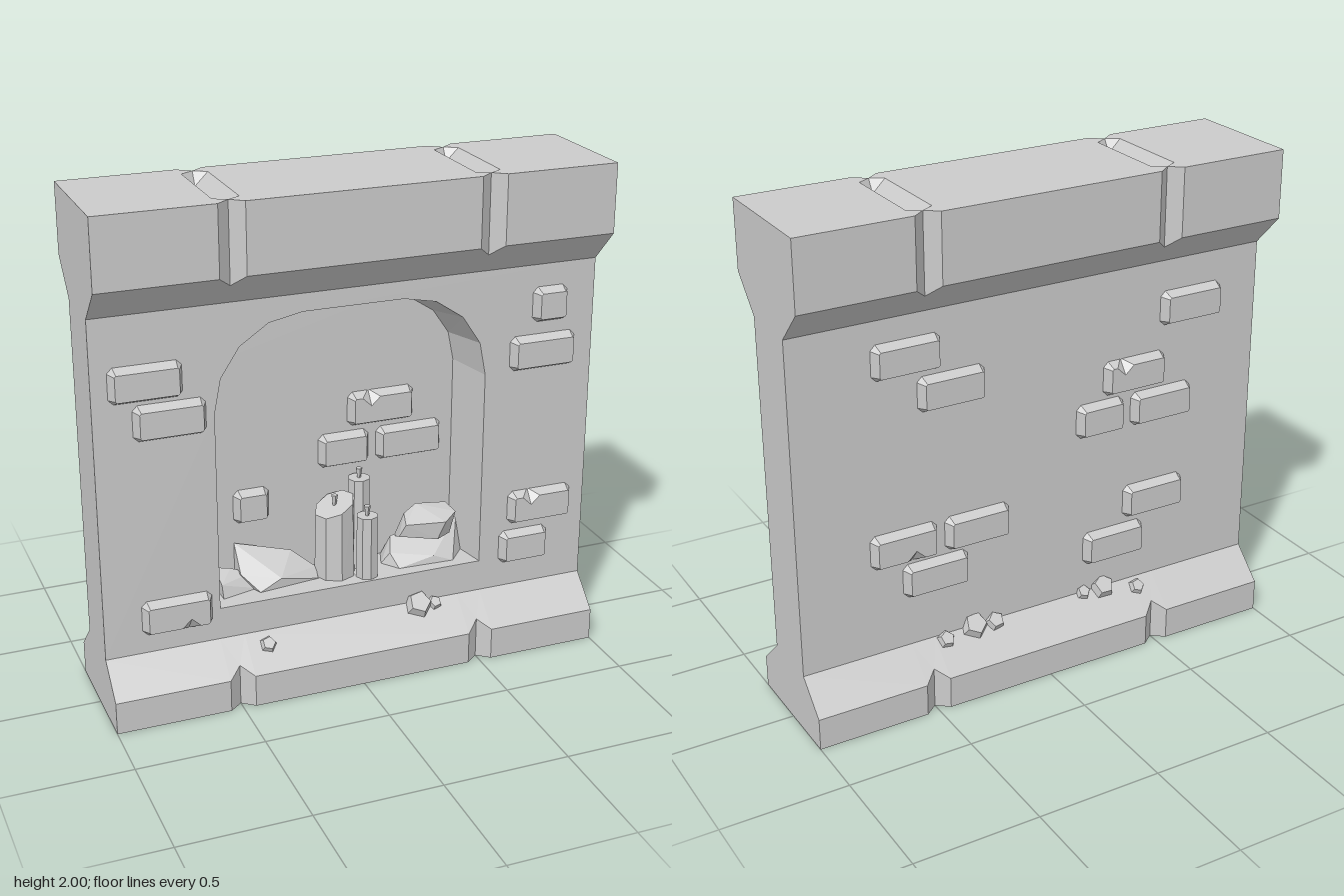
import * as THREE from 'three';
import { mergeGeometries } from 'three/addons/utils/BufferGeometryUtils.js';
import { ConvexGeometry } from 'three/addons/geometries/ConvexGeometry.js';

const stone = new THREE.MeshStandardMaterial({ color: 0xcccccc, flatShading: true });
const shell = new THREE.MeshStandardMaterial({ color: 0xcccccc, flatShading: true, side: THREE.DoubleSide });

const FACE = 0.125, NICHE_BACK = -0.085, FLOOR = 0.38;

function add(parent, name, geometry, material = stone) {
  const mesh = new THREE.Mesh(geometry, material);
  mesh.name = name;
  parent.add(mesh);
  return mesh;
}

// Skin a row of cross-sections; each quad is split along its higher diagonal
function loft(rings, closed = false, skip = -1) {
  const pos = [];
  const n = rings[0].length;
  for (let k = 0; k < rings.length - 1; k++) {
    for (let j = 0; j < (closed ? n : n - 1); j++) {
      if (j === skip) continue;
      const m = (j + 1) % n;
      const a = rings[k][j], b = rings[k + 1][j], c = rings[k + 1][m], d = rings[k][m];
      const tris = a[1] + c[1] > b[1] + d[1] ? [a, b, c, a, c, d] : [a, b, d, b, c, d];
      tris.forEach(p => pos.push(...p));
    }
  }
  const g = new THREE.BufferGeometry();
  g.setAttribute('position', new THREE.Float32BufferAttribute(pos, 3));
  g.computeVertexNormals();
  return g;
}

const toShape = pts => new THREE.Shape(pts.map(p => new THREE.Vector2(p[0], p[1])));

function flat(shape, z) {
  const g = new THREE.ShapeGeometry(shape).toNonIndexed();
  g.deleteAttribute('uv');
  return g.translate(0, 0, z);
}

// Wall cross-section at x; grooved stations are pinched in
function section(x, grooved) {
  const Z = grooved ? 0.21 : 0.25;
  const half = [
    [Z, 0], [Z, grooved ? 0.167 : 0.13], [FACE, 0.25], [FACE, 1.6],
    [Z, grooved ? 1.69 : 1.73], [Z, 2], [0.18, grooved ? 1.95 : 2],
  ];
  const back = half.map(([z, y]) => [-z, y]).reverse();
  return [...half, ...back].map(([z, y]) => [x, y, z]);
}

// Arch outline, counter-clockwise
function arch(halfWidth, top, z) {
  const pts = [[-halfWidth, FLOOR, z], [halfWidth, FLOOR, z]];
  for (const s of [1, -1]) {
    for (let i = 0; i <= 4; i++) {
      const a = (s > 0 ? i : 4 - i) * Math.PI / 8;
      pts.push([s * (0.2 + (halfWidth - 0.2) * Math.cos(a)), 1.18 + (top - 1.18) * Math.sin(a), z]);
    }
  }
  return pts;
}

function buildWall(group) {
  const stations = [-1, -0.55, -0.5, -0.45, 0.45, 0.5, 0.55, 1];
  const rings = stations.map(x => section(x, Math.abs(x) === 0.5));
  add(group, 'wallShell', loft(rings, false, 2), shell);

  // End caps
  for (const s of [1, -1]) {
    const cap = flat(toShape(rings[0].map(p => [-s * p[2], p[1]])), 0);
    add(group, 'wallEnd', cap.rotateY(s * Math.PI / 2).translate(s, 0, 0), shell);
  }

  // Front panel with the arched opening
  const outer = arch(0.545, 1.53, FACE), inner = arch(0.505, 1.48, NICHE_BACK);
  const panel = toShape([[-1, 0.25], [1, 0.25], [1, 1.6], [-1, 1.6]]);
  panel.holes.push(toShape(outer));
  add(group, 'frontPanel', flat(panel, FACE), shell);
  add(group, 'nicheSides', loft([inner, outer], true), shell);
  add(group, 'nicheBack', flat(toShape(inner), NICHE_BACK), shell);
}

// Raised brick, optionally with a chip in its top edge at x = chip
function brickGeometry(w, h, chip) {
  const ring = (inset, cut, dip, z) => {
    const x = w / 2 - inset, y = h / 2 - inset;
    const pts = [[-x + cut, -y], [x - cut, -y], [x, -y + cut], [x, y - cut], [x - cut, y]];
    if (chip !== undefined) pts.push([chip + 0.037, y], [chip, y - dip], [chip - 0.037, y]);
    pts.push([-x + cut, y], [-x, y - cut], [-x, -y + cut]);
    return pts.map(p => [...p, z]);
  };
  const base = ring(0, 0.022, 0, -0.005), front = ring(0.021, 0.006, 0.035, 0.038);
  return mergeGeometries([loft([front, base], true), flat(toShape(front), 0.038)]);
}

// Rows: x, y, width, chip offset, chip on the lower edge
function addBricks(group, name, z, rows) {
  for (const [x, y, w, chip, below] of rows) {
    const brick = add(group, name, brickGeometry(w, 0.145, below ? -chip : chip));
    brick.position.set(x, y, z);
    if (below) brick.rotation.z = Math.PI;
  }
}

// Flat pebbles resting on the sloping foot: x, y, radius, turn
function addPebbles(group, rows) {
  for (const [x, y, r, turn] of rows) {
    const g = new THREE.CylinderGeometry(r * 0.62, r, r * 0.9, 5).rotateY(turn);
    const pebble = add(group, 'pebble', g.rotateX(Math.PI / 4));
    pebble.position.set(x, y, 0.378 - y);
  }
}

// Candle with a slanted top and a flared wick
function addCandle(group, x, z, r, top, slant) {
  const candle = new THREE.Group();
  candle.name = 'candle';
  const h = top - FLOOR;
  const g = new THREE.CylinderGeometry(r * 0.93, r, h, 8).translate(0, h / 2, 0);
  const p = g.attributes.position;
  for (let i = 0; i < p.count; i++) {
    if (p.getY(i) > h / 2) p.setY(i, h + slant * (p.getX(i) - p.getZ(i) * 0.3));
  }
  add(candle, 'wax', g);
  add(candle, 'wick', new THREE.CylinderGeometry(0.014, 0.007, 0.045, 5)).position.y = h + 0.018;
  candle.position.set(x, FLOOR, z);
  group.add(candle);
}

const rubble = [
  // Left slab leaning on the back of the niche
  [[-0.42, 0.54, -0.08], [-0.2, 0.49, -0.04], [-0.11, 0.42, 0], [-0.11, 0.38, 0.03], [-0.36, 0.38, 0.06],
    [-0.42, 0.44, 0], [-0.42, 0.38, -0.08], [-0.11, 0.38, -0.08], [-0.27, 0.42, 0.05]],
  // Small left stone
  [[-0.51, 0.46, -0.06], [-0.45, 0.455, -0.04], [-0.37, 0.43, -0.02], [-0.36, 0.38, 0.02],
    [-0.51, 0.38, 0.06], [-0.51, 0.43, 0.04], [-0.37, 0.38, -0.08], [-0.51, 0.38, -0.08]],
  // Right lower stone
  [[0.17, 0.38, 0], [0.22, 0.38, 0.07], [0.45, 0.38, 0.08], [0.52, 0.38, 0], [0.52, 0.51, -0.05],
    [0.23, 0.47, -0.05], [0.2, 0.43, 0.02], [0.37, 0.41, 0.07], [0.52, 0.38, -0.08], [0.2, 0.38, -0.08]],
  // Right upper stone
  [[0.235, 0.5, 0.03], [0.28, 0.57, -0.03], [0.335, 0.6, -0.04], [0.47, 0.58, -0.05], [0.485, 0.565, 0.02],
    [0.455, 0.48, 0.03], [0.39, 0.475, 0.06], [0.26, 0.55, 0.04], [0.42, 0.55, 0.07], [0.25, 0.46, -0.06], [0.45, 0.47, -0.06]],
];

export function createModel() {
  const model = new THREE.Group();
  model.name = 'wallSection';
  buildWall(model);

  // Front face
  addBricks(model, 'frontBrick', FACE, [
    [-0.8, 1.34, 0.28], [-0.715, 1.185, 0.28], [-0.715, 0.395, 0.28, 0.045, true],
    [0.81, 1.44, 0.15], [0.785, 1.25, 0.28], [0.8, 0.595, 0.28, -0.05], [0.735, 0.425, 0.215],
  ]);
  addBricks(model, 'nicheBrick', NICHE_BACK, [
    [0.195, 1.03, 0.28, -0.05], [0.04, 0.87, 0.215], [0.315, 0.87, 0.28], [-0.345, 0.69, 0.15],
  ]);
  addPebbles(model, [[-0.37, 0.21, 0.042, 0.3], [0.275, 0.242, 0.072, 0.2], [0.345, 0.238, 0.037, 0.9]]);

  // Back face, laid out as seen from behind
  const back = new THREE.Group();
  back.name = 'backFace';
  back.rotation.y = Math.PI;
  addBricks(back, 'backBrick', FACE, [
    [-0.54, 1.44, 0.28], [-0.36, 1.28, 0.28], [0.69, 1.405, 0.28], [0.436, 1.165, 0.28, -0.06],
    [0.284, 1.01, 0.215], [0.564, 1.01, 0.28], [-0.57, 0.685, 0.28, 0.035, true], [-0.26, 0.685, 0.28],
    [-0.44, 0.53, 0.28], [0.54, 0.61, 0.28], [0.356, 0.445, 0.28],
  ]);
  addPebbles(back, [
    [-0.41, 0.235, 0.045, 0.5], [-0.28, 0.25, 0.07, 0.1], [-0.19, 0.245, 0.05, 0.8],
    [0.22, 0.25, 0.04, 0.3], [0.31, 0.25, 0.065, 0.6], [0.46, 0.22, 0.042, 0.2],
  ]);
  model.add(back);

  // Things standing in the niche
  addCandle(model, -0.03, 0.0, 0.085, 0.675, 0.4);
  addCandle(model, 0.085, -0.03, 0.048, 0.76, 0);
  addCandle(model, 0.08, 0.07, 0.046, 0.64, 0);
  for (const points of rubble) {
    add(model, 'rubbleStone', new ConvexGeometry(points.map(p => new THREE.Vector3(...p))));
  }
  return model;
}
